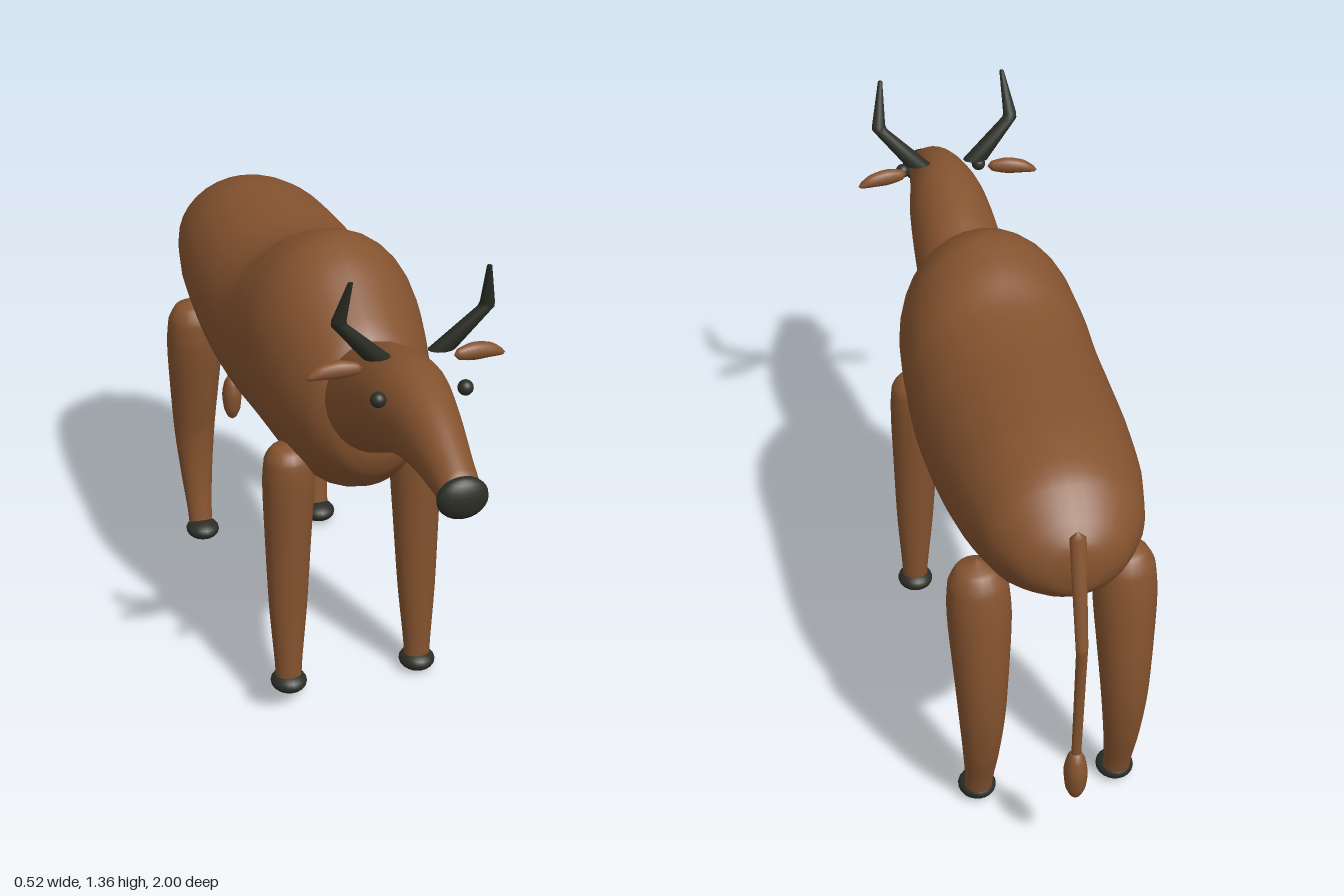
import * as THREE from 'three';

// Smooth skin over elliptical sections [x, y, z, a, b]; rings lie across the given
// axis, and sections run in its positive direction.
function loft(sections, axis, sides = 24, steps = 4, curved = true) {
  const mid = new THREE.CatmullRomCurve3(sections.map(s => new THREE.Vector3(s[0], s[1], s[2])));
  const rad = new THREE.CatmullRomCurve3(sections.map(s => new THREE.Vector3(s[3], s[4], 0)));
  const rows = (sections.length - 1) * (curved ? steps : 1);
  const pos = [], idx = [];
  for (let i = 0; i <= rows; i++) {
    const c = mid.getPoint(i / rows), r = rad.getPoint(i / rows);
    const ra = Math.max(r.x, 0.0005), rb = Math.max(r.y, 0.0005);
    for (let j = 0; j < sides; j++) {
      const t = (j / sides) * Math.PI * 2, u = ra * Math.cos(t), v = rb * Math.sin(t);
      if (axis === 'z') pos.push(c.x + u, c.y + v, c.z);
      else if (axis === 'y') pos.push(c.x + u, c.y, c.z - v);
      else pos.push(c.x, c.y + u, c.z + v);
      if (i < rows) {
        const k = (j + 1) % sides, p = i * sides, q = p + sides;
        idx.push(p + j, p + k, q + k, p + j, q + k, q + j);
      }
    }
  }
  const g = new THREE.BufferGeometry();
  g.setAttribute('position', new THREE.Float32BufferAttribute(pos, 3));
  g.setIndex(idx);
  g.computeVertexNormals();
  return g;
}

export function createModel() {
  const model = new THREE.Group();
  model.name = 'horned ox';
  const hide = new THREE.MeshStandardMaterial({ color: 0x85532f });
  hide.name = 'brown hide';
  const dark = new THREE.MeshStandardMaterial({ color: 0x2b2e25 });
  dark.name = 'dark horn';

  const add = (name, geometry, material) => {
    const mesh = new THREE.Mesh(geometry, material);
    mesh.name = name;
    model.add(mesh);
    return mesh;
  };
  const ellipsoid = (name, x, y, z, rx, ry, rz, material) => {
    const g = new THREE.SphereGeometry(1, 20, 14);
    g.scale(rx, ry, rz);
    add(name, g, material).position.set(x, y, z);
  };

  // Body with shoulder hump: z, top, bottom, half width
  const body = [
    [-0.938, 0.89, 0.88, 0.0], [-0.925, 0.95, 0.82, 0.07], [-0.89, 0.995, 0.785, 0.13],
    [-0.8, 1.07, 0.73, 0.19], [-0.65, 1.108, 0.68, 0.225], [-0.48, 1.113, 0.648, 0.243],
    [-0.3, 1.115, 0.62, 0.25], [-0.17, 1.137, 0.605, 0.248], [-0.06, 1.19, 0.594, 0.243],
    [0.05, 1.215, 0.585, 0.234], [0.14, 1.185, 0.58, 0.22], [0.24, 1.12, 0.597, 0.195],
    [0.33, 1.05, 0.642, 0.155], [0.385, 0.94, 0.7, 0.105], [0.405, 0.86, 0.745, 0.055], [0.412, 0.8, 0.79, 0.0],
  ];
  const ovals = list => list.map(([z, top, bottom, w]) => [0, (top + bottom) / 2, z, w, (top - bottom) / 2]);
  add('body', loft(ovals(body), 'z', 32), hide);

  // Neck and head in one tapering form
  const head = [
    [0.2, 0.97, 0.72, 0.0], [0.25, 1.0, 0.72, 0.12], [0.34, 1.045, 0.74, 0.124],
    [0.41, 1.075, 0.775, 0.122], [0.51, 1.105, 0.825, 0.116], [0.61, 1.122, 0.87, 0.105],
    [0.7, 1.115, 0.893, 0.087], [0.8, 1.083, 0.9, 0.07], [0.9, 1.03, 0.895, 0.055],
    [0.965, 0.99, 0.89, 0.047], [0.975, 0.945, 0.935, 0.0],
  ];
  add('neckAndHead', loft(ovals(head), 'z', 28), hide);
  ellipsoid('nose', 0, 0.937, 0.97, 0.062, 0.052, 0.03, dark);

  for (const [s, side] of [[1, 'left'], [-1, 'right']]) {
    ellipsoid(side + 'Eye', s * 0.107, 1.07, 0.7, 0.019, 0.019, 0.019, dark);

    // Horn: out and up, then a sharp bend
    add(side + 'Horn', loft([
      [s * 0.074, 1.126, 0.61, 0.0, 0.0], [s * 0.08, 1.134, 0.61, 0.034, 0.024],
      [s * 0.179, 1.238, 0.632, 0.02, 0.017], [s * 0.181, 1.25, 0.635, 0.018, 0.016],
      [s * 0.167, 1.359, 0.676, 0.006, 0.006], [s * 0.167, 1.36, 0.676, 0, 0],
    ], 'y', 12, 1, false), dark);

    // Leaf-shaped ear
    const ear = [
      [0.113, 1.11, 0.606, 0, 0], [0.125, 1.11, 0.604, 0.014, 0.012], [0.17, 1.11, 0.598, 0.022, 0.019],
      [0.215, 1.105, 0.593, 0.017, 0.017], [0.24, 1.096, 0.591, 0.008, 0.01], [0.248, 1.093, 0.59, 0, 0],
    ].map(([x, ...rest]) => [s * x, ...rest]);
    if (s < 0) ear.reverse();
    add(side + 'Ear', loft(ear, 'x', 16), hide);

    // Straight front leg
    add(side + 'FrontLeg', loft([
      [s * 0.18, 0.03, 0.215, 0.034, 0.03], [s * 0.18, 0.08, 0.213, 0.036, 0.034],
      [s * 0.178, 0.25, 0.207, 0.05, 0.044], [s * 0.175, 0.45, 0.202, 0.06, 0.056],
      [s * 0.172, 0.62, 0.2, 0.067, 0.066], [s * 0.172, 0.685, 0.2, 0.062, 0.062],
      [s * 0.173, 0.715, 0.2, 0.042, 0.042], [s * 0.175, 0.728, 0.2, 0, 0],
    ], 'y', 20), hide);

    // Back leg bowed to the rear
    add(side + 'BackLeg', loft([
      [s * 0.18, 0.03, -0.672, 0.034, 0.028], [s * 0.18, 0.08, -0.684, 0.036, 0.031],
      [s * 0.18, 0.18, -0.708, 0.045, 0.042], [s * 0.18, 0.32, -0.722, 0.058, 0.055],
      [s * 0.18, 0.45, -0.712, 0.068, 0.07], [s * 0.18, 0.62, -0.691, 0.079, 0.078],
      [s * 0.181, 0.7, -0.684, 0.073, 0.071], [s * 0.182, 0.74, -0.682, 0.052, 0.05],
      [s * 0.183, 0.762, -0.68, 0, 0],
    ], 'y', 20), hide);

    ellipsoid(side + 'FrontHoof', s * 0.18, 0.03, 0.215, 0.048, 0.028, 0.052, dark);
    ellipsoid(side + 'BackHoof', s * 0.18, 0.03, -0.655, 0.048, 0.028, 0.052, dark);
  }

  // Tail and its tuft
  add('tail', loft([
    [0, 0.33, -0.955, 0.012, 0.009], [0, 0.36, -0.957, 0.012, 0.009], [0, 0.69, -0.984, 0.014, 0.014],
    [0, 0.71, -0.983, 0.015, 0.015], [0, 0.975, -0.922, 0.02, 0.012], [0, 0.99, -0.918, 0, 0],
  ], 'y', 12, 1, false), hide);
  add('tailTuft', loft([
    [0, 0.223, -0.955, 0, 0], [0, 0.232, -0.955, 0.013, 0.014], [0, 0.26, -0.955, 0.025, 0.028],
    [0, 0.305, -0.955, 0.029, 0.034], [0, 0.345, -0.955, 0.022, 0.026], [0, 0.362, -0.955, 0.014, 0.015], [0, 0.37, -0.955, 0, 0],
  ], 'y', 16), hide);

  return model;
}
